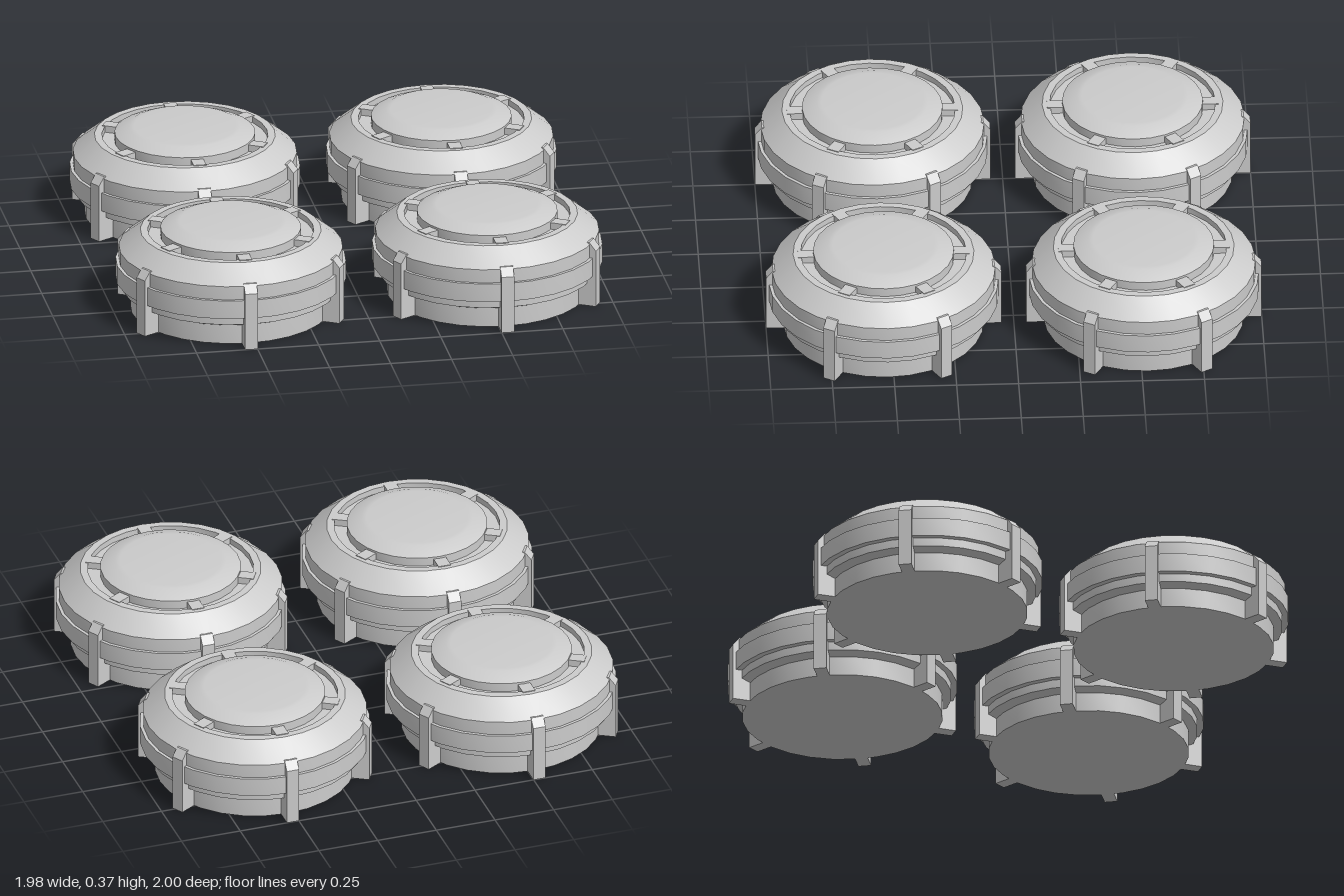
import * as THREE from 'three';
import { toCreasedNormals } from 'three/addons/utils/BufferGeometryUtils.js';

const SPACING = 0.525, SIDES = 28, RIB_WIDTH = 0.052;
const material = new THREE.MeshStandardMaterial({ color: 0xcccccc });

const part = (name, geometry) => {
  const mesh = new THREE.Mesh(geometry, material);
  mesh.name = name;
  return mesh;
};

// Turned solid from [radius, height] pairs, listed bottom to top
const turned = (points) => toCreasedNormals(
  new THREE.LatheGeometry(points.map(([r, y]) => new THREE.Vector2(r, y)), SIDES), 0.4);

// Radial plate from a side outline in [radius, height]
const plate = (outline) => new THREE.ExtrudeGeometry(
  new THREE.Shape(outline.map(([r, y]) => new THREE.Vector2(r, y))),
  { depth: RIB_WIDTH, bevelEnabled: false }).translate(0, 0, -RIB_WIDTH / 2);

export function createModel() {
  const model = new THREE.Group();
  model.name = 'podSet';

  // Base, stepped belt, sloping shoulder, groove and raised cap
  const bodyGeometry = turned([
    [0, 0], [0.405, 0], [0.405, 0.08], [0.44, 0.095], [0.44, 0.13],
    [0.465, 0.13], [0.465, 0.208], [0.452, 0.208], [0.452, 0.265],
    [0.365, 0.335], [0.335, 0.335], [0.335, 0.31], [0.284, 0.31],
  ]);
  const capGeometry = turned([
    [0.284, 0.31], [0.284, 0.347], [0.225, 0.372], [0.205, 0.374], [0, 0.374],
  ]);
  const ribGeometry = plate([
    [0.39, 0], [0.475, 0], [0.475, 0.24], [0.447, 0.274], [0.39, 0.274],
  ]);
  const bridgeGeometry = plate([[0.27, 0.3], [0.345, 0.3], [0.345, 0.338], [0.27, 0.338]]);

  for (const x of [-SPACING, SPACING]) {
    for (const z of [-SPACING, SPACING]) {
      const pod = new THREE.Group();
      pod.name = 'pod';
      pod.position.set(x, 0, z);
      pod.add(part('body', bodyGeometry), part('cap', capGeometry));

      // Six outer ribs, each with a small bridge across the groove
      for (let i = 0; i < 6; i++) {
        const spoke = new THREE.Group();
        spoke.name = 'ribSet';
        spoke.rotation.y = Math.PI / 6 + i * Math.PI / 3;
        spoke.add(part('outerRib', ribGeometry), part('grooveBridge', bridgeGeometry));
        pod.add(spoke);
      }
      model.add(pod);
    }
  }
  return model;
}
